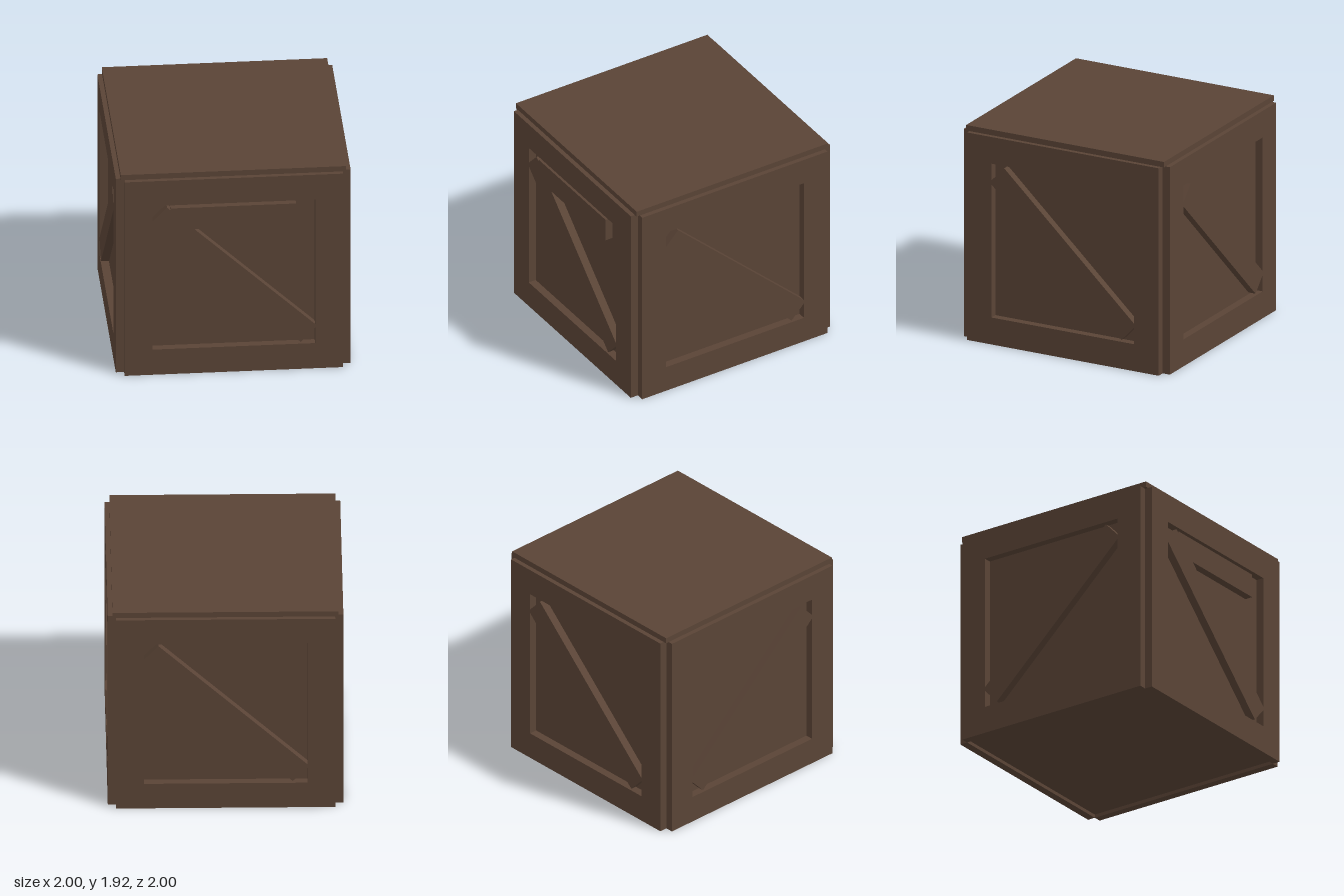
import * as THREE from 'three';

const wood = new THREE.MeshStandardMaterial({ color: 0x5a4436 });
wood.name = 'dark wood';

const CORE = 0.93; // half width of the inner box, and of each side frame
const DEPTH = 0.07; // thickness of the side boards
const HEIGHT = 1.87; // height of the side frames
const MID = HEIGHT / 2;

function box(name, w, h, d, x, y, z) {
  const mesh = new THREE.Mesh(new THREE.BoxGeometry(w, h, d), wood);
  mesh.name = name;
  mesh.position.set(x, y, z);
  return mesh;
}

// One side of the crate, facing +z: square frame with a diagonal brace
function crateSide(name, lean) {
  const side = new THREE.Group();
  side.name = name;

  const shape = new THREE.Shape([
    new THREE.Vector2(-CORE, 0), new THREE.Vector2(CORE, 0),
    new THREE.Vector2(CORE, HEIGHT), new THREE.Vector2(-CORE, HEIGHT),
  ]);
  shape.holes.push(new THREE.Path([
    new THREE.Vector2(-0.693, 0.243), new THREE.Vector2(-0.693, 1.63),
    new THREE.Vector2(0.693, 1.63), new THREE.Vector2(0.693, 0.243),
  ]));
  const frame = new THREE.Mesh(
    new THREE.ExtrudeGeometry(shape, { depth: DEPTH, bevelEnabled: false }), wood);
  frame.name = 'sideFrame';
  frame.position.z = CORE;
  side.add(frame);

  const brace = box('diagonalBrace', 1.754, 0.206, DEPTH, 0, MID, CORE + DEPTH / 2);
  brace.rotation.z = -lean * 0.753;
  side.add(brace);
  return side;
}

export function createModel() {
  const crate = new THREE.Group();
  crate.name = 'crate';

  // Inner box, its underside slightly raised from the ground
  crate.add(box('innerBox', CORE * 2, HEIGHT - 0.03, CORE * 2, 0, MID + 0.015, 0));
  // Lid
  crate.add(box('lid', 1.92, 0.05, 1.92, 0, HEIGHT + 0.025, 0));

  // Four sides; one brace leans the other way
  [['frontSide', 1], ['leftSide', 1], ['backSide', 1], ['rightSide', -1]]
    .forEach(([name, lean], i) => {
      const side = crateSide(name, lean);
      side.rotation.y = i * Math.PI / 2;
      crate.add(side);
    });

  // Name board on the front, level with the frame
  crate.add(box('frontBoard', 1.07, 0.21, DEPTH, -0.005, 1.495, CORE + DEPTH / 2));
  return crate;
}
